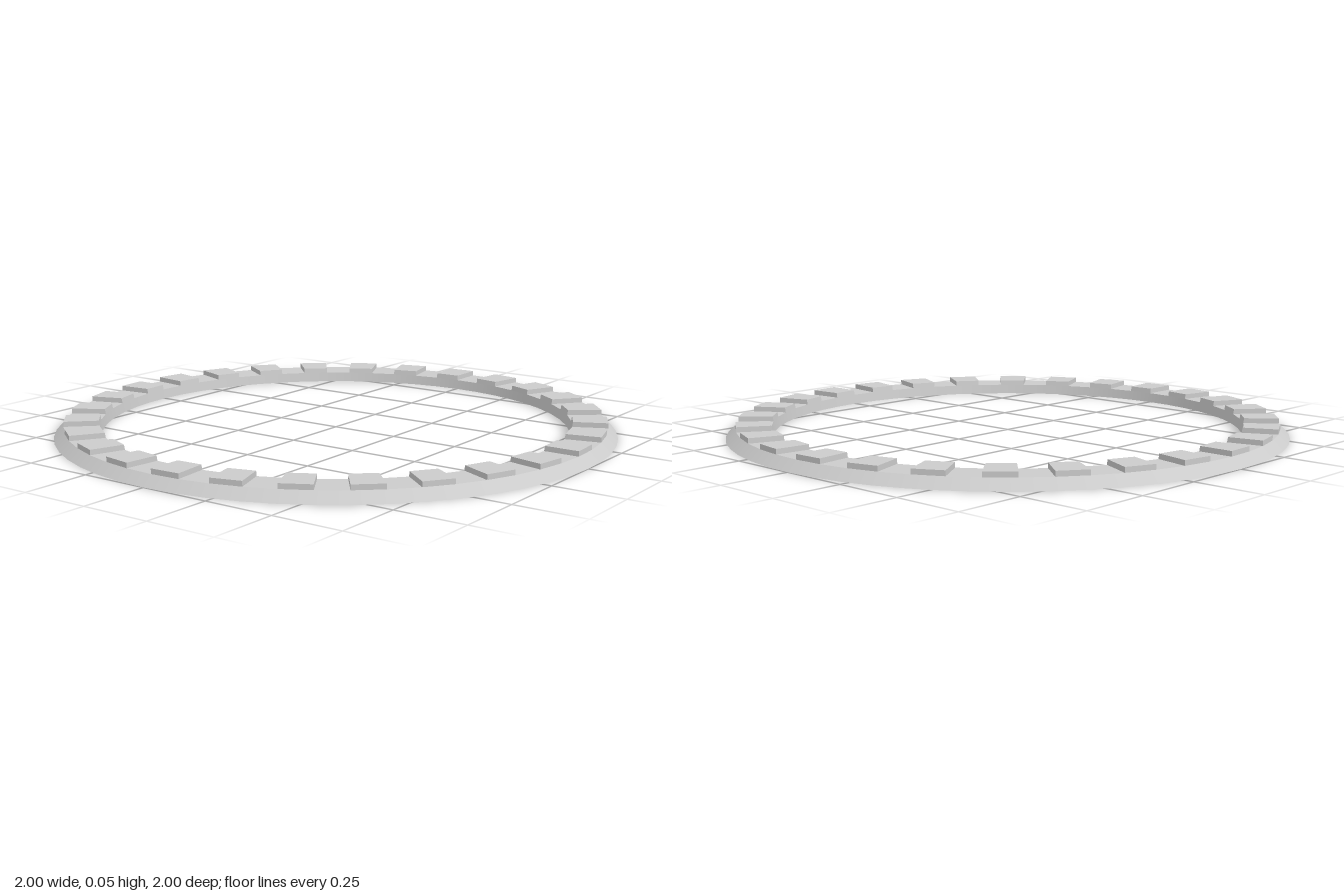
import * as THREE from 'three';

const TEETH = 28;
const STEP = Math.PI / TEETH; // one tooth or one gap
const OUTER = 0.965, INNER = 0.84, TOOTH_INNER = 0.843;
const LOW = 0.035, HIGH = 0.053;

export function createModel() {
  const group = new THREE.Group();
  const smooth = new THREE.MeshStandardMaterial({ color: 0xcccccc, side: THREE.DoubleSide });
  const flat = new THREE.MeshStandardMaterial({ color: 0xcccccc, side: THREE.DoubleSide, flatShading: true });

  const add = (parent, name, geometry, material) => {
    const mesh = new THREE.Mesh(geometry, material);
    mesh.name = name;
    parent.add(mesh);
    return mesh;
  };
  // Sweep a radius/height profile around the ring
  const sweep = (profile, segments, length) =>
    new THREE.LatheGeometry(profile.map(p => new THREE.Vector2(...p)), segments, 0, length);

  // Smooth sloping skirt and inner wall; the underside stays open
  add(group, 'outerSkirt', sweep([[1, 0], [OUTER, LOW]], TEETH * 2, Math.PI * 2), smooth);
  add(group, 'innerWall', sweep([[INNER, LOW], [0.834, 0]], TEETH * 2, Math.PI * 2), smooth);

  // Hollow raised teeth alternating with low floors
  const toothGeometry = sweep([[OUTER, LOW], [OUTER, HIGH], [TOOTH_INNER, HIGH], [INNER, LOW]], 1, STEP);
  const floorGeometry = sweep([[OUTER, LOW], [INNER, LOW]], 1, STEP);
  const sideGeometry = new THREE.ShapeGeometry(new THREE.Shape([
    new THREE.Vector2(INNER, LOW), new THREE.Vector2(OUTER, LOW),
    new THREE.Vector2(OUTER, HIGH), new THREE.Vector2(TOOTH_INNER, HIGH),
  ]));

  for (let i = 0; i < TEETH; i++) {
    const tooth = new THREE.Group();
    tooth.name = 'tooth';
    tooth.rotation.y = i * 2 * STEP;
    group.add(tooth);
    add(tooth, 'toothTop', toothGeometry, flat);
    add(tooth, 'gapFloor', floorGeometry, flat).rotation.y = STEP;
    for (const angle of [0, STEP]) {
      add(tooth, 'toothSide', sideGeometry, flat).rotation.y = angle - Math.PI / 2;
    }
  }
  return group;
}
